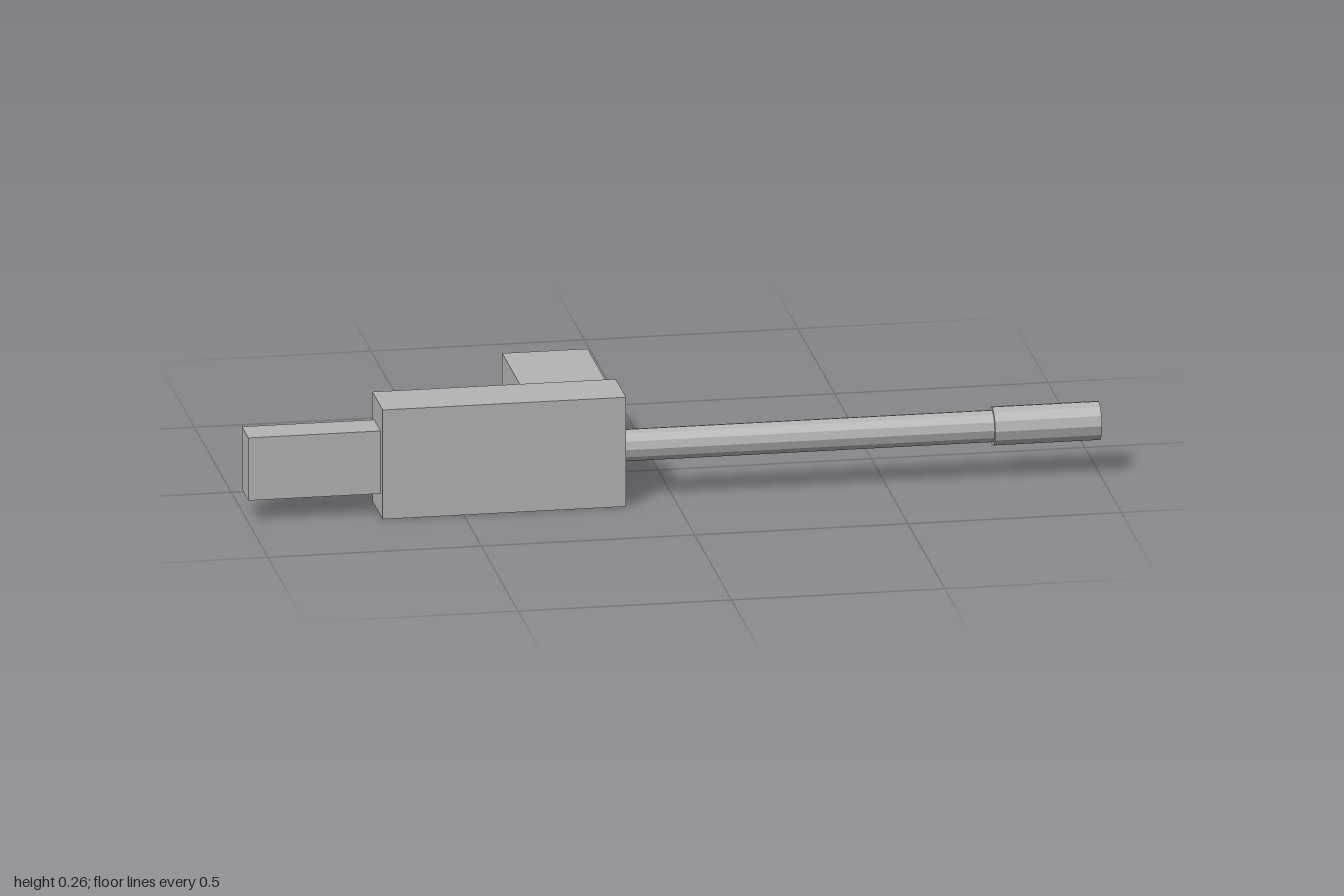
import * as THREE from 'three';

export function createModel() {
  const model = new THREE.Group();
  const grey = new THREE.MeshStandardMaterial({ color: 0xb4b4b4, flatShading: true });
  grey.name = 'plain grey';

  const add = (name, geometry, x, y, z) => {
    const mesh = new THREE.Mesh(geometry, grey);
    mesh.name = name;
    mesh.position.set(x, y, z);
    model.add(mesh);
  };
  // Box given by its extents on each axis
  const block = (name, [x0, x1], [y0, y1], [z0, z1]) =>
    add(name, new THREE.BoxGeometry(x1 - x0, y1 - y0, z1 - z0),
      (x0 + x1) / 2, (y0 + y1) / 2, (z0 + z1) / 2);
  // Twelve-sided rod along x
  const rod = (name, radius, x0, x1) =>
    add(name, new THREE.CylinderGeometry(radius, radius, x1 - x0, 12).rotateZ(-Math.PI / 2),
      (x0 + x1) / 2, 0.126, 0.191);

  // Main body, rear block and side block
  block('body', [-0.69, -0.12], [0, 0.265], [0.121, 0.261]);
  block('rearBlock', [-1, -0.69], [0.053, 0.205], [0.145, 0.232]);
  block('sideBlock', [-0.32, -0.12], [0.033, 0.218], [-0.261, 0.121]);

  // Long tube with a thicker tip
  rod('tube', 0.038, -0.12, 0.75);
  rod('tubeTip', 0.046, 0.75, 1);

  return model;
}
